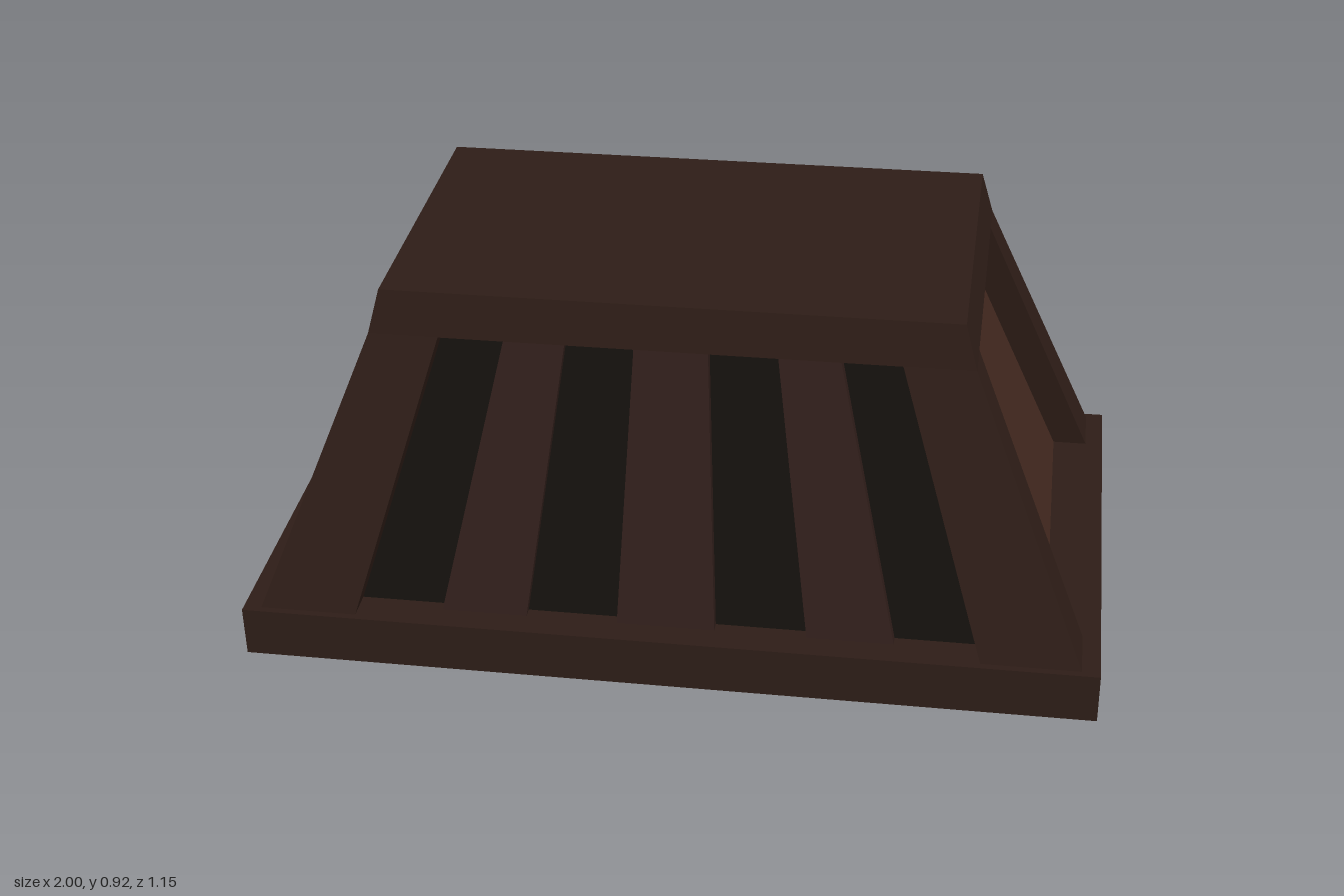
import * as THREE from 'three';

const mat = (color) => new THREE.MeshStandardMaterial({ color, flatShading: true, side: THREE.DoubleSide });

const BASE_TOP = 0.123, RAIL = 0.79, TOP = 0.895;

const rect = (x0, x1, z0, z1) => [[x0, z0], [x0, z1], [x1, z1], [x1, z0]];

// Solid between two convex outlines (lists of [x, z]) at heights y0 and y1
function loft(lower, y0, upper, y1, { bottomCap = true } = {}) {
  const n = lower.length;
  let area = 0;
  lower.forEach(([x, z], i) => {
    const [u, v] = lower[(i + 1) % n];
    area += x * v - u * z;
  });
  const order = (s) => (area > 0 ? [...s].reverse() : s);
  const b = order(lower).map(([x, z]) => [x, y0, z]);
  const t = order(upper).map(([x, z]) => [x, y1, z]);
  const pos = [];
  const tri = (...corners) => corners.forEach((c) => pos.push(...c));
  for (let i = 0; i < n; i++) {
    const j = (i + 1) % n;
    tri(b[i], b[j], t[j]);
    tri(b[i], t[j], t[i]);
    if (i > 0 && i < n - 1) {
      tri(t[0], t[i], t[i + 1]);
      if (bottomCap) tri(b[0], b[i + 1], b[i]);
    }
  }
  const g = new THREE.BufferGeometry();
  g.setAttribute('position', new THREE.Float32BufferAttribute(pos, 3));
  g.computeVertexNormals();
  return g;
}

export function createModel() {
  const root = new THREE.Group();
  const body = new THREE.Group();
  body.name = 'slattedBody';
  root.add(body);

  const frame = mat(0x2e1d17), slat = mat(0x301e1a), panel = mat(0x43291f), dark = mat(0x14100d);
  const add = (name, geometry, material) => {
    const m = new THREE.Mesh(geometry, material);
    m.name = name;
    body.add(m);
  };

  // Base frame with a rectangular opening underneath
  const outline = (C, x, z) =>
    new C([[-x, -z], [x, -z], [x, z], [-x, z]].map(([a, b]) => new THREE.Vector2(a, b)));
  const shape = outline(THREE.Shape, 0.994, 0.568);
  shape.holes.push(outline(THREE.Path, 0.755, 0.425));
  const base = new THREE.ExtrudeGeometry(shape, { depth: BASE_TOP, bevelEnabled: false });
  base.rotateX(-Math.PI / 2);
  add('baseFrame', base, frame);

  // Tapered cap
  add('topCap', loft(rect(-0.68, 0.68, -0.393, 0.393), RAIL,
    rect(-0.652, 0.652, -0.377, 0.377), TOP), frame);

  // Hollow inside, open at the bottom
  add('innerLining', loft(rect(-0.755, 0.755, -0.425, 0.425), BASE_TOP,
    rect(-0.49, 0.49, -0.27, 0.27), RAIL - 0.01, { bottomCap: false }), frame);

  // Leaning corner posts
  const postLow = [[0.952, 0.552], [0.952, 0.418], [0.85, 0.418], [0.725, 0.47], [0.725, 0.552]];
  const postHigh = [[0.68, 0.393], [0.68, 0.298], [0.58, 0.298], [0.52, 0.32], [0.52, 0.393]];
  for (const sx of [-1, 1]) for (const sz of [-1, 1]) {
    const flip = (s) => s.map(([x, z]) => [x * sx, z * sz]);
    add('cornerPost', loft(flip(postLow), BASE_TOP, flip(postHigh), RAIL), frame);
  }

  // Recessed panels on the two ends
  for (const s of [-1, 1]) {
    add('sidePanel', loft(rect(s * 0.8, s * 0.87, -0.43, 0.43), BASE_TOP,
      rect(s * 0.53, s * 0.598, -0.31, 0.31), RAIL), panel);
  }

  // Dark backing and three slats on the front and rear
  const slats = [[-0.427, 0.1, -0.307, 0.069], [0, 0.114, 0, 0.083], [0.427, 0.1, 0.307, 0.069]];
  for (const s of [-1, 1]) {
    add('darkBacking', loft(rect(-0.75, 0.75, s * 0.44, s * 0.48), BASE_TOP,
      rect(-0.54, 0.54, s * 0.28, s * 0.32), RAIL), dark);
    for (const [x0, w0, x1, w1] of slats) {
      add('slat', loft(rect(x0 - w0, x0 + w0, s * 0.46, s * 0.506), BASE_TOP,
        rect(x1 - w1, x1 + w1, s * 0.3, s * 0.346), RAIL), slat);
    }
  }

  // Slight lean, then centre and rest on the ground
  body.rotation.set(0.007, -0.007, 0.012);
  root.updateMatrixWorld(true);
  const box = new THREE.Box3().setFromObject(body, true);
  const c = box.getCenter(new THREE.Vector3());
  body.position.set(-c.x, -box.min.y, -c.z);
  return root;
}
